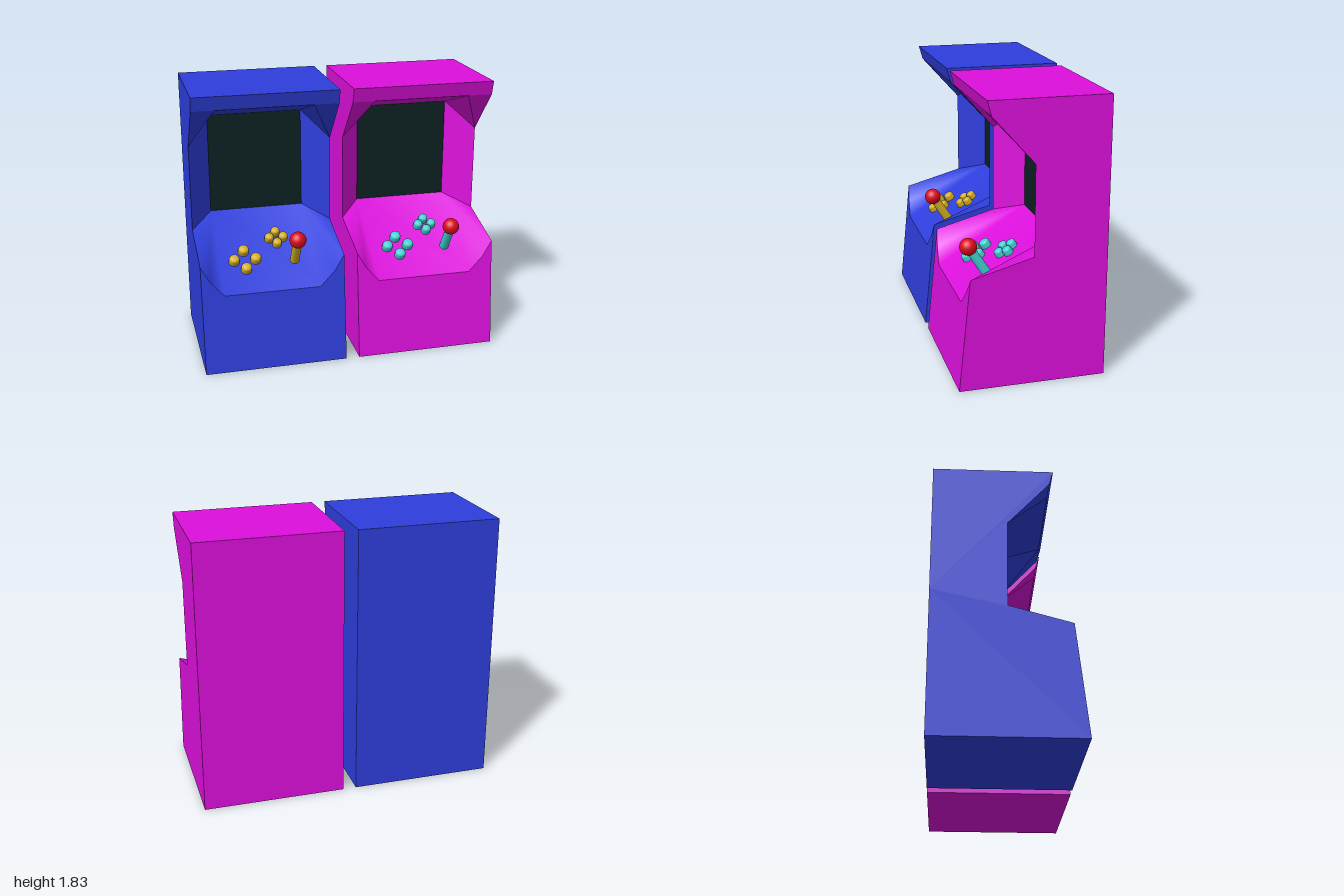
import * as THREE from 'three';
import { mergeVertices } from 'three/addons/utils/BufferGeometryUtils.js';

const W = 0.955;                       // cabinet width
const TILT = Math.atan2(0.38, 0.6);    // slope of the control panel

const material = (name, color) => {
  const m = new THREE.MeshStandardMaterial({ color });
  m.name = name;
  return m;
};

// Polygons are fanned from their first corner
function polygonMesh(name, polygons, mat, smooth = false) {
  const pos = [];
  for (const p of polygons)
    for (let i = 1; i < p.length - 1; i++) pos.push(...p[0], ...p[i], ...p[i + 1]);
  let geo = new THREE.BufferGeometry();
  geo.setAttribute('position', new THREE.Float32BufferAttribute(pos, 3));
  if (smooth) geo = mergeVertices(geo);
  geo.computeVertexNormals();
  const mesh = new THREE.Mesh(geo, mat);
  mesh.name = name;
  return mesh;
}

// Opposite side of the cabinet; its inner margin is slightly wider
const flip = ([x, y, z]) => [W - x * 1.1, y, z];
const both = (poly) => [poly, [flip(poly[0]), ...poly.slice(1).map(flip).reverse()]];
const across = (a, b) => [a, flip(a), flip(b), b];
const frontPoint = (x, y) => [x, y, 0.475 - 0.1014 * y];

function createCabinet(mat) {
  const g = new THREE.Group();
  g.name = 'cabinet';

  // Key corners on the x = 0 side
  const rimFront = frontPoint(0, 0.735), rimMid = frontPoint(0.06, 0.63), rimLow = frontPoint(0.15, 0.53);
  const screenLow = [0.15, 0.91, -0.18], screenHigh = [0.15, 1.59, -0.18];
  const sideLow = [0, 0.845, 0], sideHigh = [0, 1.43, 0];
  const browInner = [0.15, 1.73, 0.268], browLow = [0, 1.73, 0.268], browTop = [0, 1.825, 0.295];
  const backTop = [0, 1.825, -0.475], backLow = [0, 0, -0.475], frontLow = [0, 0, 0.475];

  // Side walls, fanned from a point on the back edge
  g.add(polygonMesh('sideWalls', both([[0, 0.95, -0.475], backLow, frontLow, rimFront,
    sideLow, sideHigh, browLow, browTop, backTop]), mat.body));

  // Outer shell
  g.add(polygonMesh('roof', [across(browTop, backTop)], mat.body));
  g.add(polygonMesh('brow', [across(browLow, browTop)], mat.body));
  g.add(polygonMesh('base', [across(backLow, frontLow)], mat.body));
  g.add(polygonMesh('backPanel', [across(backTop, backLow)], mat.body));

  // Front panel as columns under the dipped rim
  const rim = [rimFront, rimMid, rimLow, flip(rimLow), flip(rimMid), flip(rimFront)];
  const columns = [];
  for (let i = 0; i < rim.length - 1; i++) {
    const a = rim[i], b = rim[i + 1];
    columns.push([frontPoint(a[0], 0), frontPoint(b[0], 0), b, a]);
  }
  g.add(polygonMesh('frontPanel', columns, mat.body));

  // Softly dished control panel
  g.add(polygonMesh('controlPanel', [
    [screenLow, rimLow, flip(rimLow), flip(screenLow)],
    ...both([screenLow, sideLow, rimFront, rimMid, rimLow]),
  ], mat.body, true));

  // Screen recess
  g.add(polygonMesh('screen', [across(screenLow, screenHigh)], mat.screen));
  g.add(polygonMesh('screenSurround', both([sideLow, screenLow, screenHigh, sideHigh]), mat.body));
  g.add(polygonMesh('hoodUnderside', [
    across(screenHigh, browInner),
    ...both([sideHigh, screenHigh, browInner, browLow]),
  ], mat.body));
  return g;
}

// Joystick and two diamonds of buttons, laid out in the plane of the panel
function createControls(mat) {
  const g = new THREE.Group();
  g.name = 'controls';
  g.position.set(0, 0.91, -0.18);
  g.rotation.x = TILT;
  const add = (name, geo, m, x, y, z) => {
    const mesh = new THREE.Mesh(geo, m);
    mesh.name = name;
    mesh.position.set(x, y, z);
    g.add(mesh);
  };

  add('joystickShaft', new THREE.CylinderGeometry(0.031, 0.031, 0.24, 20), mat.controls, 0.655, 0.105, 0.478);
  add('joystickBall', new THREE.SphereGeometry(0.056, 24, 16), mat.ball, 0.655, 0.225, 0.478);

  const clusters = [
    { x: 0.32, z: 0.449, spread: 0.073, r: 0.036 },
    { x: 0.557, z: 0.29, spread: 0.048, r: 0.031 },
  ];
  for (const { x, z, spread, r } of clusters) {
    const profile = [[r, -0.02], [r, 0.032], [r * 0.88, 0.043], [r * 0.6, 0.048], [0, 0.05]]
      .map(([a, b]) => new THREE.Vector2(a, b));
    const geo = new THREE.LatheGeometry(profile, 16);
    for (const [dx, dz] of [[1, 0], [-1, 0], [0, 1], [0, -1]])
      add('button', geo, mat.controls, x + dx * spread, 0, z + dz * spread);
  }
  return g;
}

export function createModel() {
  const model = new THREE.Group();
  model.name = 'arcadeCabinets';
  const screen = material('darkScreen', 0x0c2020);
  const ball = material('redBall', 0xdc0a1e);
  const machines = [
    { name: 'rightMachine', x: -1, shift: 0, body: material('blueBody', 0x2e3edc), controls: material('goldControls', 0xd4ae22) },
    { name: 'leftMachine', x: 0.045, shift: 0.02, body: material('magentaBody', 0xdc10dc), controls: material('cyanControls', 0x40d4d4) },
  ];
  for (const { name, x, shift, body, controls } of machines) {
    const machine = new THREE.Group();
    machine.name = name;
    machine.position.x = x;
    const panel = createControls({ controls, ball });
    panel.position.x = shift;
    machine.add(createCabinet({ body, screen }), panel);
    model.add(machine);
  }
  return model;
}
